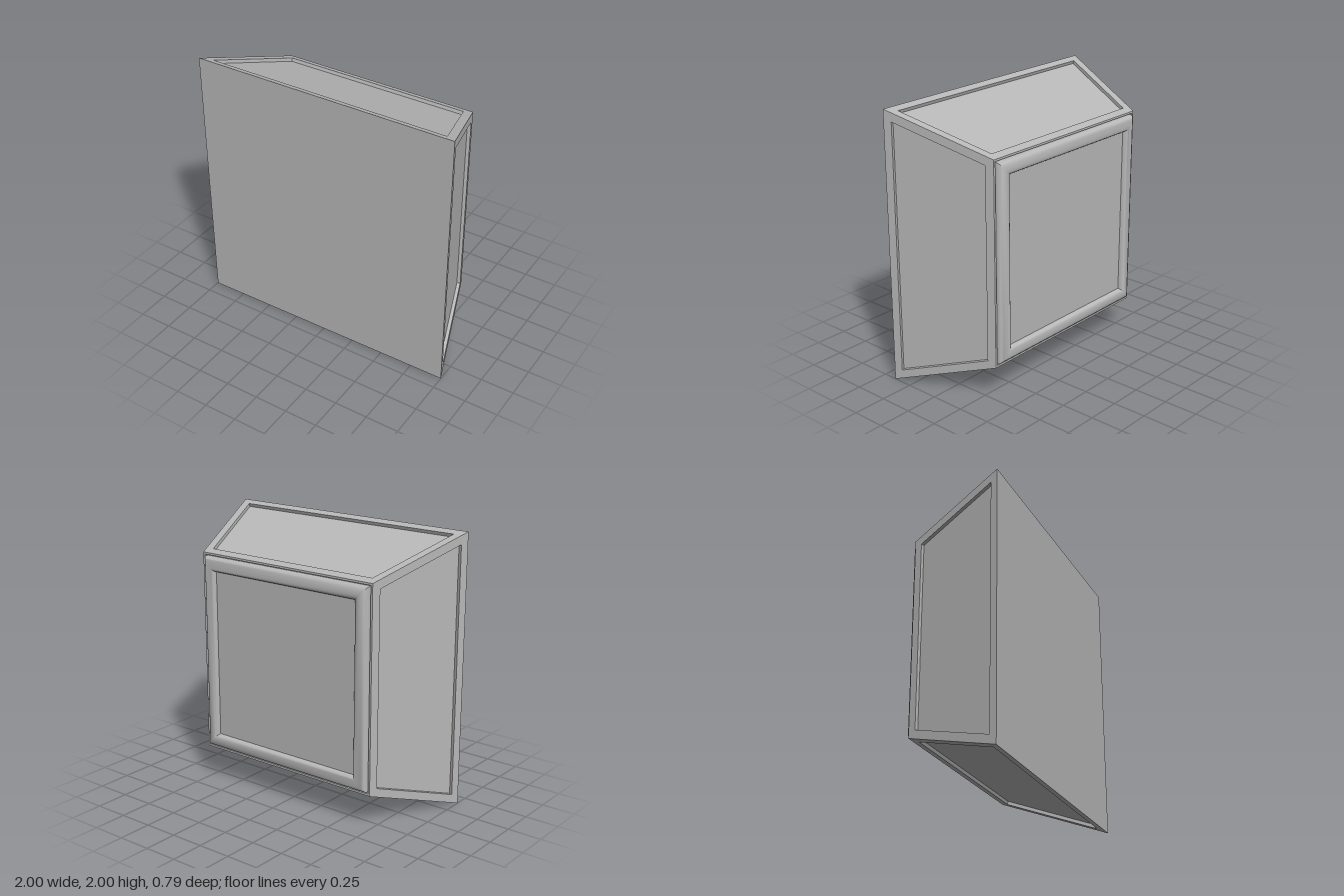
import * as THREE from 'three';
import { toCreasedNormals } from 'three/addons/utils/BufferGeometryUtils.js';

const FRONT = 0.395, BACK = -0.355, MID = 1; // front plane, rear plane, centre height

// Skin between successive four-cornered loops (counter-clockwise from outside), optionally capped
function loft(loops, cap, crease = 0.6) {
  const pos = [];
  const quad = (a, b, c, d) => [a, b, c, a, c, d].forEach(p => pos.push(...p));
  for (let k = 0; k + 1 < loops.length; k++) {
    for (let i = 0; i < 4; i++) {
      const j = (i + 1) % 4;
      quad(loops[k][i], loops[k][j], loops[k + 1][j], loops[k + 1][i]);
    }
  }
  if (cap) quad(...loops[loops.length - 1]);
  const g = new THREE.BufferGeometry();
  g.setAttribute('position', new THREE.Float32BufferAttribute(pos, 3));
  g.computeVertexNormals();
  return toCreasedNormals(g, crease);
}

// Square loop facing backwards
const backLoop = ([r, z]) => [[r, -r, z], [-r, -r, z], [-r, r, z], [r, r, z]];

// Trapezoid lying on the tapered upper side, between two depths
function sideLoop(zFront, zBack, inset = 0, sink = 0) {
  const s = Math.hypot(1, 3);
  const height = z => 1 - (FRONT - z) / 3;
  const point = (sign, z) => [
    sign * (height(z) - inset), height(z) - sink * 3 / s, z + sink / s];
  return [point(-1, zFront), point(1, zFront), point(1, zBack), point(-1, zBack)];
}

export function createModel() {
  const model = new THREE.Group();
  model.name = 'taperedPanelBlock';
  const grey = new THREE.MeshStandardMaterial({ color: 0xb8b8b8 });
  grey.name = 'plainGrey';

  const body = new THREE.Group();
  body.position.y = MID;
  model.add(body);
  const add = (name, geometry) => {
    const mesh = new THREE.Mesh(geometry, grey);
    mesh.name = name;
    body.add(mesh);
    return mesh;
  };

  // Flat square front
  const face = add('frontFace', new THREE.PlaneGeometry(2, 2));
  face.position.z = FRONT;

  // Four tapered sides, each with a sunken panel
  const outer = sideLoop(FRONT, BACK);
  const inset = sideLoop(0.34, -0.297, 0.064);
  const sunk = sideLoop(0.34, -0.297, 0.064, 0.025);
  const frameGeometry = loft([outer, inset, sunk], false);
  const panelGeometry = loft([sunk], true);
  ['top', 'left', 'bottom', 'right'].forEach((side, i) => {
    const angle = -i * Math.PI / 2;
    add(side + 'Frame', frameGeometry).rotation.z = angle;
    add(side + 'Panel', panelGeometry).rotation.z = angle;
  });

  // Rear rim with a narrow groove inside it
  add('rearRim', loft([[0.75, BACK], [0.735, BACK], [0.735, -0.335], [0.726, -0.335]].map(backLoop), false));

  // Rounded raised border
  const border = [
    [0.726, -0.335], [0.726, -0.357], [0.721, -0.37], [0.71, -0.381], [0.695, -0.389],
    [0.675, -0.394], [0.655, -0.395], [0.643, -0.392], [0.633, -0.385],
    [0.626, -0.374], [0.622, -0.36]];
  add('rearBorder', loft(border.map(backLoop), false, 0.8));

  // Rear centre panel
  add('rearPanel', loft([backLoop([0.622, -0.36])], true));

  return model;
}
